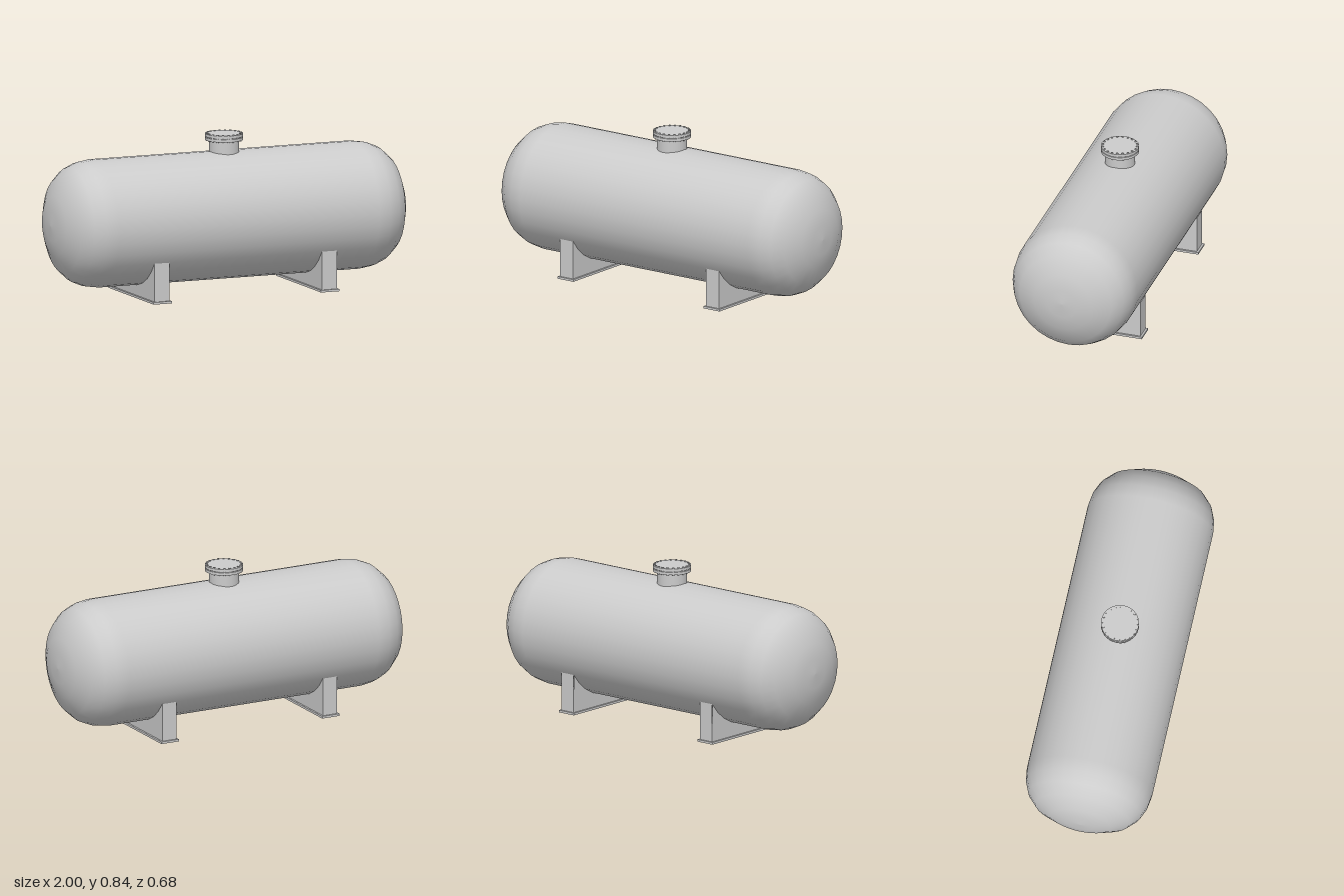
import * as THREE from 'three';

const RADIUS = 0.34, AXIS_Y = 0.405;
const grey = new THREE.MeshStandardMaterial({ color: 0xcccccc });
const sheet = new THREE.MeshStandardMaterial({ color: 0xcccccc, side: THREE.DoubleSide });

function add(parent, name, geometry, material = grey, x = 0, y = 0, z = 0) {
  const mesh = new THREE.Mesh(geometry, material);
  mesh.name = name;
  mesh.position.set(x, y, z);
  parent.add(mesh);
  return mesh;
}

// Horizontal shell with dished ends, turned around x
function addTank(parent) {
  const head = [[0, 1], [0.08, 0.995], [0.16, 0.98], [0.255, 0.935], [0.305, 0.88], [0.33, 0.82], [RADIUS, 0.75]];
  const profile = [
    ...head.map(([r, h]) => new THREE.Vector2(r, -h)),
    ...head.slice().reverse().map(([r, h]) => new THREE.Vector2(r, h)),
  ];
  const geometry = new THREE.LatheGeometry(profile, 32);
  geometry.rotateZ(-Math.PI / 2);
  add(parent, 'tankShell', geometry, grey, 0, AXIS_Y, 0);
}

// Hollow saddle: two cradle webs, two end panels and an open base flange
function createSaddle() {
  const saddle = new THREE.Group();
  saddle.name = 'saddle';
  const halfX = 0.0425, halfZ = 0.285, top = 0.217;

  const angle = Math.acos(halfZ / RADIUS);
  const web = new THREE.Shape();
  web.moveTo(-halfZ, 0.005);
  web.lineTo(halfZ, 0.005);
  web.lineTo(halfZ, top);
  web.absarc(0, AXIS_Y, RADIUS - 0.002, -angle, -Math.PI + angle, true);
  web.closePath();

  for (const side of [-1, 1]) {
    const cradle = add(saddle, 'cradleWeb', new THREE.ShapeGeometry(web, 24), sheet, side * halfX, 0, 0);
    cradle.rotation.y = side * Math.PI / 2;
    const panel = add(saddle, 'endPanel', new THREE.PlaneGeometry(halfX * 2, top - 0.005), sheet,
      0, (top + 0.005) / 2, side * halfZ);
    if (side < 0) panel.rotation.y = Math.PI;
  }

  const rectangle = (path, x, z) =>
    path.setFromPoints([[-x, -z], [x, -z], [x, z], [-x, z]].map(p => new THREE.Vector2(...p)));
  const flange = rectangle(new THREE.Shape(), 0.0525, 0.295);
  flange.holes.push(rectangle(new THREE.Path(), halfX - 0.001, halfZ - 0.001));
  const base = new THREE.ExtrudeGeometry(flange, { depth: 0.012, bevelEnabled: false });
  base.rotateX(-Math.PI / 2);
  add(saddle, 'baseFlange', base);
  return saddle;
}

// Bolted manway on top of the shell
function createManway() {
  const manway = new THREE.Group();
  manway.name = 'manway';
  const disc = (name, r, y0, y1) =>
    add(manway, name, new THREE.CylinderGeometry(r, r, y1 - y0, 32), grey, 0, (y0 + y1) / 2, 0);
  disc('neck', 0.08, 0.7, 0.806);
  disc('neckFlange', 0.101, 0.804, 0.819);
  disc('gasket', 0.094, 0.818, 0.824);
  disc('coverPlate', 0.101, 0.823, 0.838);

  const bolt = new THREE.CylinderGeometry(0.006, 0.006, 0.042, 6);
  for (let i = 0; i < 20; i++) {
    const a = (i + 0.5) * Math.PI / 10;
    add(manway, 'bolt', bolt, grey, Math.sin(a) * 0.092, 0.821, Math.cos(a) * 0.092);
  }
  return manway;
}

export function createModel() {
  const model = new THREE.Group();
  model.name = 'storageTank';
  addTank(model);
  for (const x of [-0.483, 0.483]) {
    const saddle = createSaddle();
    saddle.position.x = x;
    model.add(saddle);
  }
  model.add(createManway());
  return model;
}
